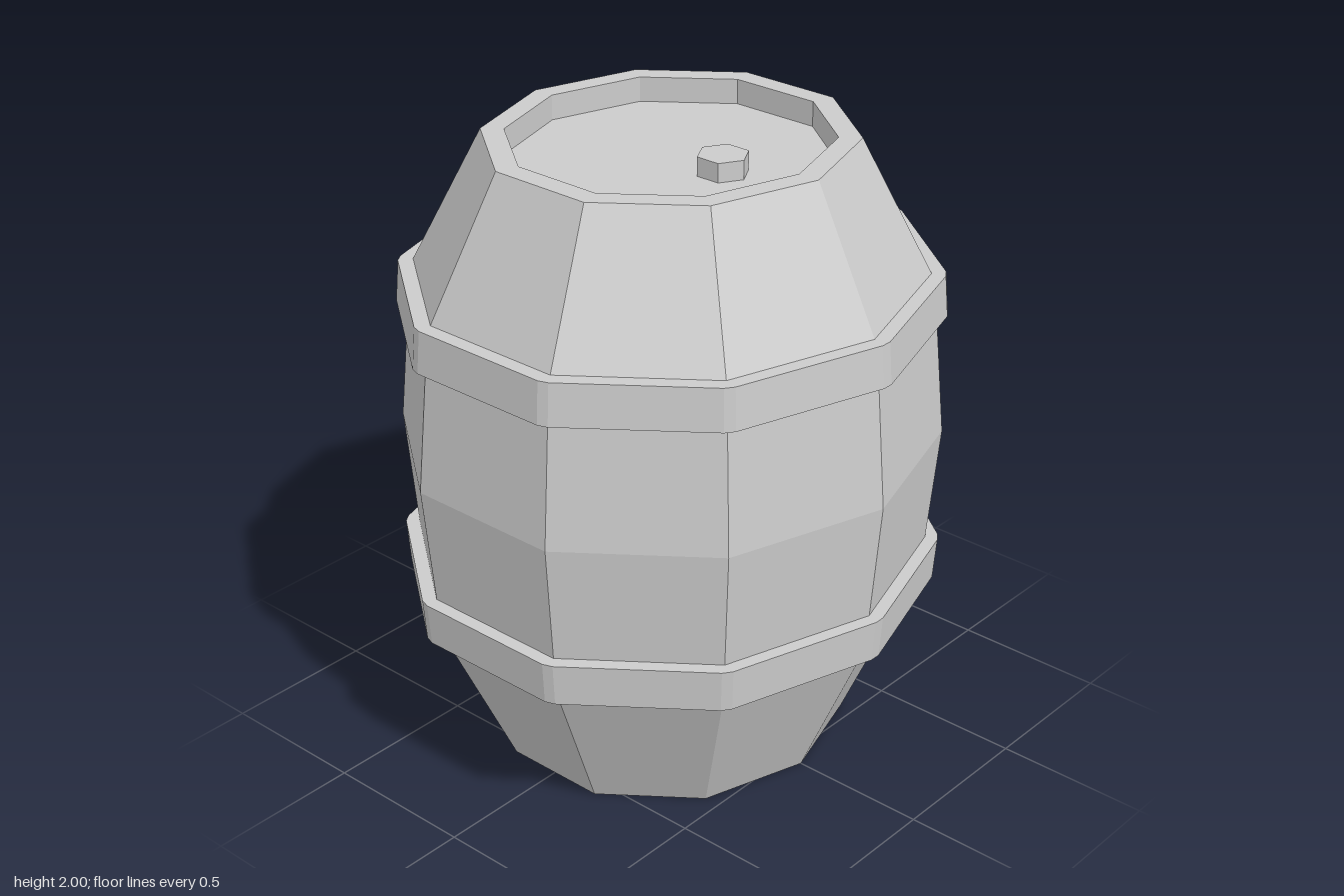
import * as THREE from 'three';

const SIDES = 10;
// stretches the decagon sideways so it is as wide as it is deep
const STRETCH = 1 / Math.cos(Math.PI / SIDES);

const material = new THREE.MeshStandardMaterial({ color: 0xcccccc, flatShading: true });

function addPart(group, name, geometry) {
  const mesh = new THREE.Mesh(geometry, material);
  mesh.name = name;
  group.add(mesh);
  return mesh;
}

function turned(profile, segments) {
  return new THREE.LatheGeometry(profile.map(([r, y]) => new THREE.Vector2(r, y)), segments);
}

// Ten-sided ring with a narrow chamfer on every corner
function hoopGeometry(profile) {
  const geometry = turned(profile, SIDES * 2);
  const pos = geometry.attributes.position;
  const chamfer = 0.02;
  for (let i = 0; i < pos.count; i++) {
    const step = Math.floor(i / profile.length);
    const [r, y] = profile[i % profile.length];
    const corner = Math.floor((step + 1) / 2) * (2 * Math.PI / SIDES);
    const angle = corner + (step % 2 ? -chamfer : chamfer);
    pos.setXYZ(i, r * Math.sin(angle) * STRETCH, y, r * Math.cos(angle));
  }
  geometry.computeVertexNormals();
  return geometry;
}

export function createModel() {
  const group = new THREE.Group();
  group.name = 'barrel';

  // Staves with a recessed lid and a recessed base
  const body = turned([
    [0, 0.08], [0.485, 0.08], [0.485, 0], [0.555, 0],
    [0.786, 0.53], [0.83, 1.04], [0.784, 1.55],
    [0.555, 2], [0.485, 2], [0.485, 1.92], [0, 1.92],
  ], SIDES);
  body.scale(STRETCH, 1, 1);
  addPart(group, 'body', body);

  // Hoops, each leaning slightly with the staves
  addPart(group, 'lowerHoop', hoopGeometry([
    [0.76, 0.52], [0.826, 0.52], [0.836, 0.658], [0.76, 0.658],
  ]));
  addPart(group, 'upperHoop', hoopGeometry([
    [0.74, 1.44], [0.826, 1.44], [0.815, 1.573], [0.74, 1.573],
  ]));

  // Hexagonal bung on the lid
  const bung = addPart(group, 'bung', new THREE.CylinderGeometry(0.08, 0.08, 0.08, 6));
  bung.position.set(0.015, 1.94, 0.19);

  return group;
}
